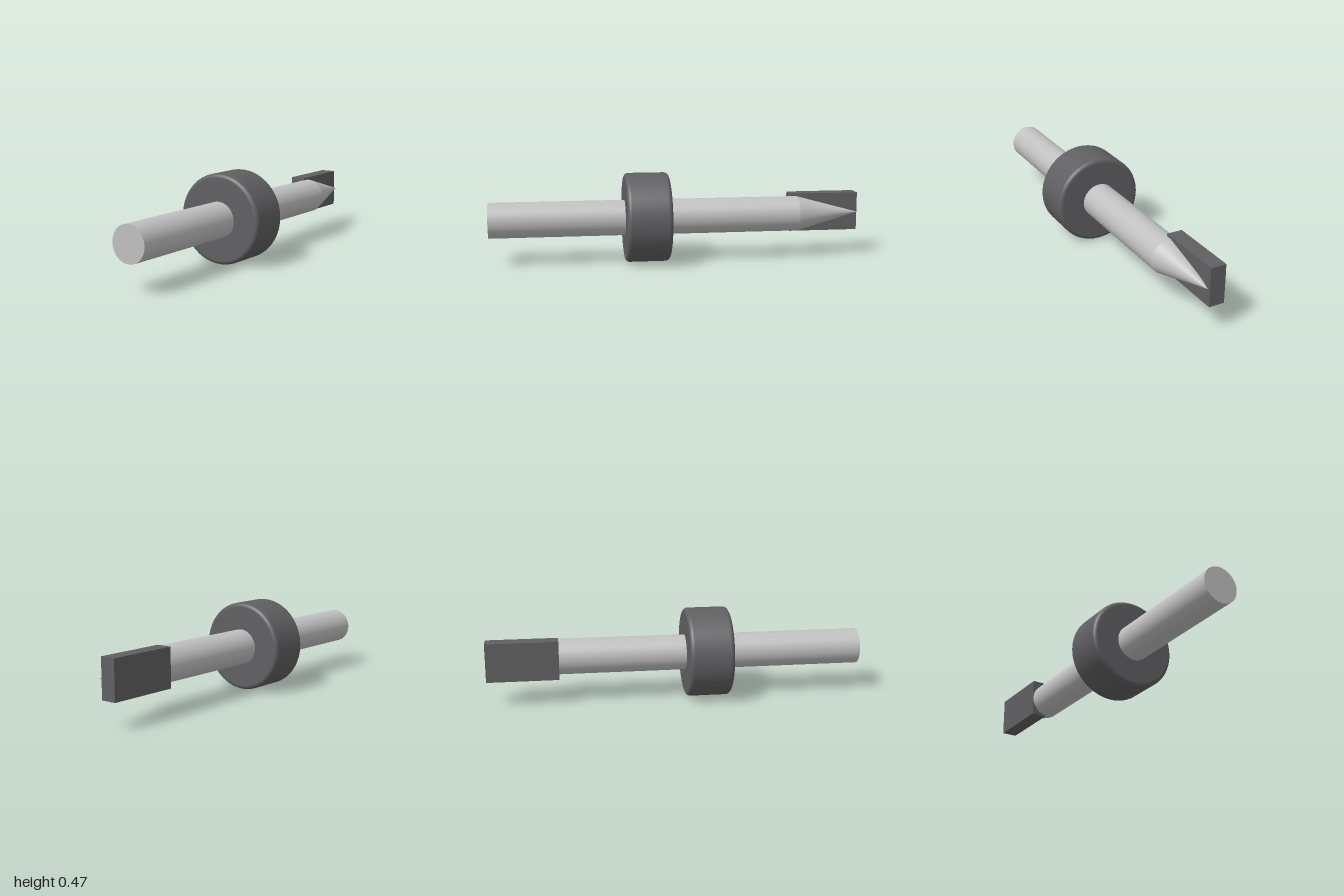
import * as THREE from 'three';

const AXIS_Y = 0.238;

export function createModel() {
  const steel = new THREE.MeshStandardMaterial({ color: 0xc0c0c0 });
  steel.name = 'light steel';
  const dark = new THREE.MeshStandardMaterial({ color: 0x606062 });
  dark.name = 'dark grey';

  const model = new THREE.Group();
  model.name = 'spindle';
  const add = (name, geometry, material, x, y, z) => {
    const mesh = new THREE.Mesh(geometry, material);
    mesh.name = name;
    mesh.position.set(x, y, z);
    model.add(mesh);
  };

  // Round shaft along z, ending in a sharp cone at the back
  const r = 0.094, shoulder = -0.655;
  const shaft = new THREE.CylinderGeometry(r, r, 1 - shoulder, 64).rotateX(Math.PI / 2);
  add('shaft', shaft, steel, 0, AXIS_Y, (1 + shoulder) / 2);
  const tip = new THREE.ConeGeometry(r, 1 + shoulder, 64, 1, true).rotateX(-Math.PI / 2);
  add('tip', tip, steel, 0, AXIS_Y, (shoulder - 1) / 2);

  // Collar with rounded rims
  const R = 0.2375, half = 0.1175, fillet = 0.022, steps = 6;
  const profile = [new THREE.Vector2(0.08, -half)];
  for (const side of [-1, 1]) {
    for (let i = 0; i <= steps; i++) {
      const t = (i / steps) * Math.PI / 2;
      const a = side < 0 ? t - Math.PI / 2 : t;
      profile.push(new THREE.Vector2(
        R - fillet + fillet * Math.cos(a),
        side * (half - fillet) + fillet * Math.sin(a)));
    }
  }
  profile.push(new THREE.Vector2(0.08, half));
  add('collar', new THREE.LatheGeometry(profile, 64).rotateX(Math.PI / 2), dark, 0, AXIS_Y, 0.168);

  // Flat blade beside the cone
  add('blade', new THREE.BoxGeometry(0.083, 0.206, 0.378), dark, -0.0535, AXIS_Y + 0.003, -0.811);

  return model;
}
